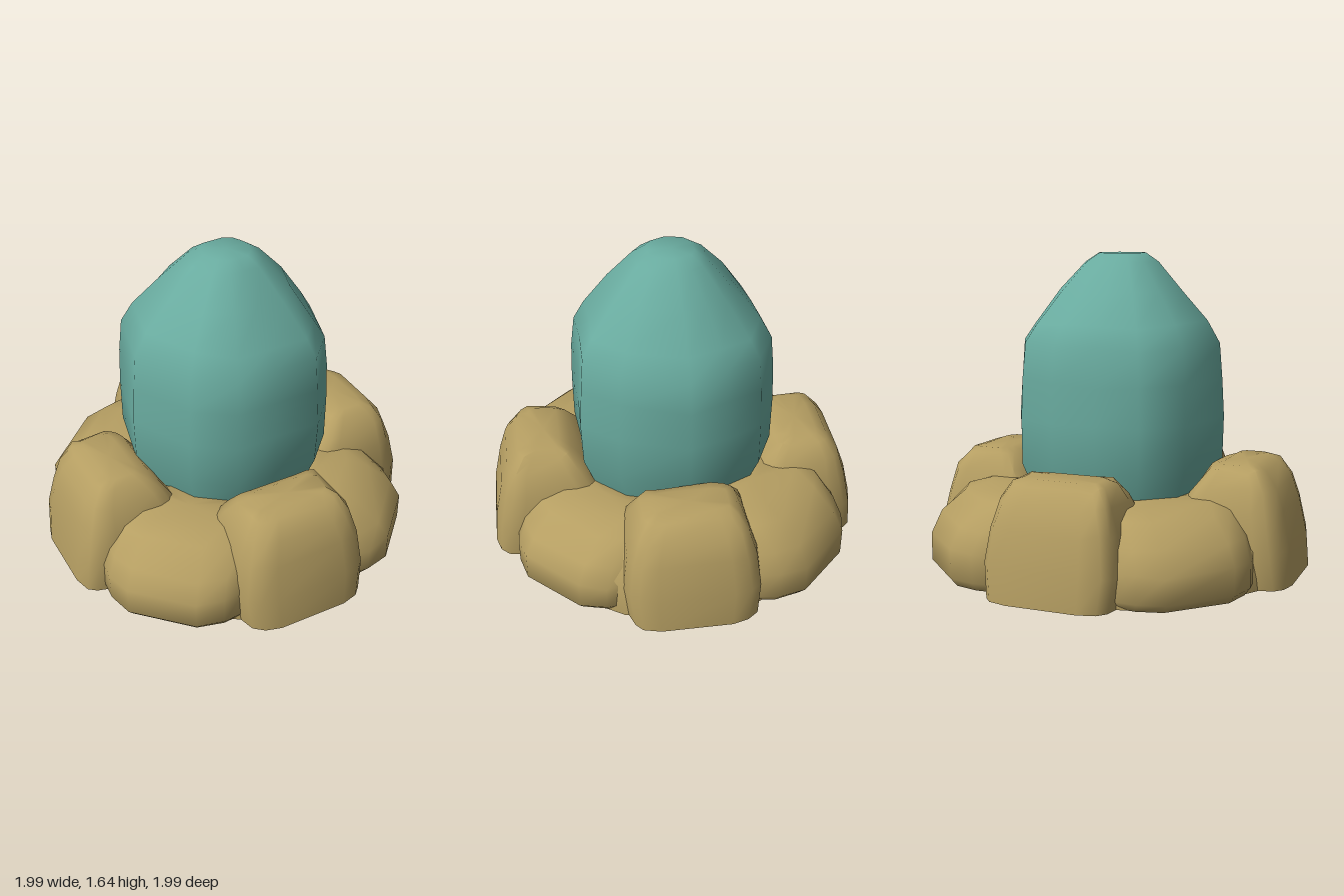
import * as THREE from 'three';
import { mergeVertices, toCreasedNormals } from 'three/addons/utils/BufferGeometryUtils.js';

// Small seeded noise in the range -1..1
function noise(seed) {
  let s = seed;
  return () => {
    s = (s * 16807) % 2147483647;
    return (s / 2147483647) * 2 - 1;
  };
}

// Skin a stack of closed rings (bottom to top) and cap both ends
function loft(rings, crease) {
  const n = rings[0].length, pos = [], idx = [];
  rings.forEach(r => r.forEach(p => pos.push(...p)));
  for (let i = 0; i < rings.length - 1; i++) {
    for (let j = 0; j < n; j++) {
      const a = i * n + j, b = i * n + (j + 1) % n;
      idx.push(a, a + n, b, b, a + n, b + n);
    }
  }
  for (const [k, up] of [[0, false], [rings.length - 1, true]]) {
    const c = pos.length / 3;
    const mean = [0, 1, 2].map(d => rings[k].reduce((s, p) => s + p[d], 0) / n);
    pos.push(...mean);
    for (let j = 0; j < n; j++) {
      const a = k * n + j, b = k * n + (j + 1) % n;
      if (up) idx.push(c, b, a); else idx.push(c, a, b);
    }
  }
  const g = new THREE.BufferGeometry();
  g.setAttribute('position', new THREE.Float32BufferAttribute(pos, 3));
  g.setIndex(idx);
  return toCreasedNormals(g, crease);
}

// Layers of a rock: [height fraction, inner radius, outer radius, half width]
const TALL = {
  round: 0.37, bend: 0.15,
  layers: [
    [0, 0.38, 1.0, 0.34], [0.3, 0.38, 0.985, 0.36], [0.62, 0.4, 0.945, 0.335],
    [0.82, 0.48, 0.905, 0.295], [0.96, 0.55, 0.84, 0.245], [1, 0.61, 0.78, 0.2],
  ],
};
const LOW = {
  round: 0.5, bend: 0.9,
  layers: [
    [0, 0.38, 0.98, 0.39], [0.1, 0.38, 1.02, 0.41], [0.42, 0.38, 1.02, 0.41],
    [0.66, 0.39, 0.96, 0.4], [0.92, 0.41, 0.83, 0.37], [1, 0.43, 0.7, 0.3],
  ],
};

// Rounded block, its outer face bent around the ring by a parabola
function rockGeometry({ layers, round, bend }, height, shift, reach, seed) {
  const rnd = noise(seed), n = 16;
  const soft = v => Math.sign(v) * Math.abs(v) ** round;
  const wobble = Array.from({ length: n }, () => 0.02 * rnd());
  const rings = layers.map(([f, r0, r1, w]) => Array.from({ length: n }, (_, j) => {
    const a = ((j + 0.5) / n) * Math.PI * 2;
    const t = (soft(Math.sin(a)) + 1) / 2;
    const x = soft(Math.cos(a)) * w * (1 + wobble[j] + 0.012 * rnd());
    const z = r0 + (r1 + reach - r0 - bend * x * x) * t;
    const y = f * height + (f > 0.2 && f < 1 ? 0.015 * rnd() : 0);
    return [x + shift, y, z];
  }));
  return loft(rings, 1.0);
}

export function createModel() {
  const model = new THREE.Group();
  const water = new THREE.MeshStandardMaterial({ color: 0x69ab9f });
  water.name = 'teal';
  const stone = new THREE.MeshStandardMaterial({ color: 0xb59e62 });
  stone.name = 'sandy brown';

  const add = (name, geometry, material) => {
    const mesh = new THREE.Mesh(geometry, material);
    mesh.name = name;
    model.add(mesh);
    return mesh;
  };

  // Central faceted column with a blunt domed top
  const outline = [
    [-0.56, 0.03], [-0.47, -0.35], [-0.28, -0.5], [-0.05, -0.515], [0.18, -0.53], [0.4, -0.42],
    [0.49, -0.24], [0.56, -0.03], [0.44, 0.32], [0.27, 0.5], [0.03, 0.495], [-0.2, 0.515], [-0.4, 0.36],
  ];
  const levels = [
    [0.2, 0.82], [0.42, 0.89], [0.56, 0.99], [0.8, 1], [1.0, 0.98], [1.18, 0.95],
    [1.29, 0.84], [1.45, 0.6], [1.6, 0.35], [1.645, 0.23],
  ];
  const rnd = noise(77);
  const rings = levels.map(([y, s], i) => outline.map(([x, z]) => {
    const lift = i > 3 && i < 8 ? 0.015 * rnd() : 0;
    const k = s * (1 + (i > 5 && i < 9 ? 0.015 : 0.006) * rnd());
    return [x * k, y + lift, z * k];
  }));
  add('column', loft(rings, 1.2), water);

  // Ring of rocks, alternating tall and low, starting at the front:
  // [height, sideways shift, extra reach]
  const rocks = [
    [0.595, -0.02, 0], [0.41, -0.03, -0.02], [0.585, 0, 0], [0.45, 0, 0.03],
    [0.575, -0.03, 0.005], [0.43, -0.03, 0], [0.595, -0.01, 0], [0.43, -0.03, 0.02],
  ];
  rocks.forEach(([height, shift, reach], i) => {
    const tall = i % 2 === 0;
    const geo = rockGeometry(tall ? TALL : LOW, height, shift, reach, 101 + i * 5381);
    add((tall ? 'tallRock' : 'lowRock') + (i >> 1), geo, stone).rotation.y = i * Math.PI / 4;
  });

  // Bed that joins the rocks and leaves an open hole underneath
  const bed = [[0.37, 0.4], [0.37, 0], [0.92, 0], [0.91, 0.2], [0.78, 0.36], [0.6, 0.4], [0.37, 0.4]]
    .map(p => new THREE.Vector2(...p));
  const ringGeo = new THREE.LatheGeometry(bed, 16);
  ringGeo.deleteAttribute('normal');
  ringGeo.deleteAttribute('uv');
  add('rockBed', toCreasedNormals(mergeVertices(ringGeo), 0.8), stone);

  // Recessed floor closing the hole
  const floor = new THREE.CircleGeometry(0.39, 12).rotateX(Math.PI / 2).translate(0, 0.08, 0);
  add('recessedFloor', floor, stone);

  return model;
}
